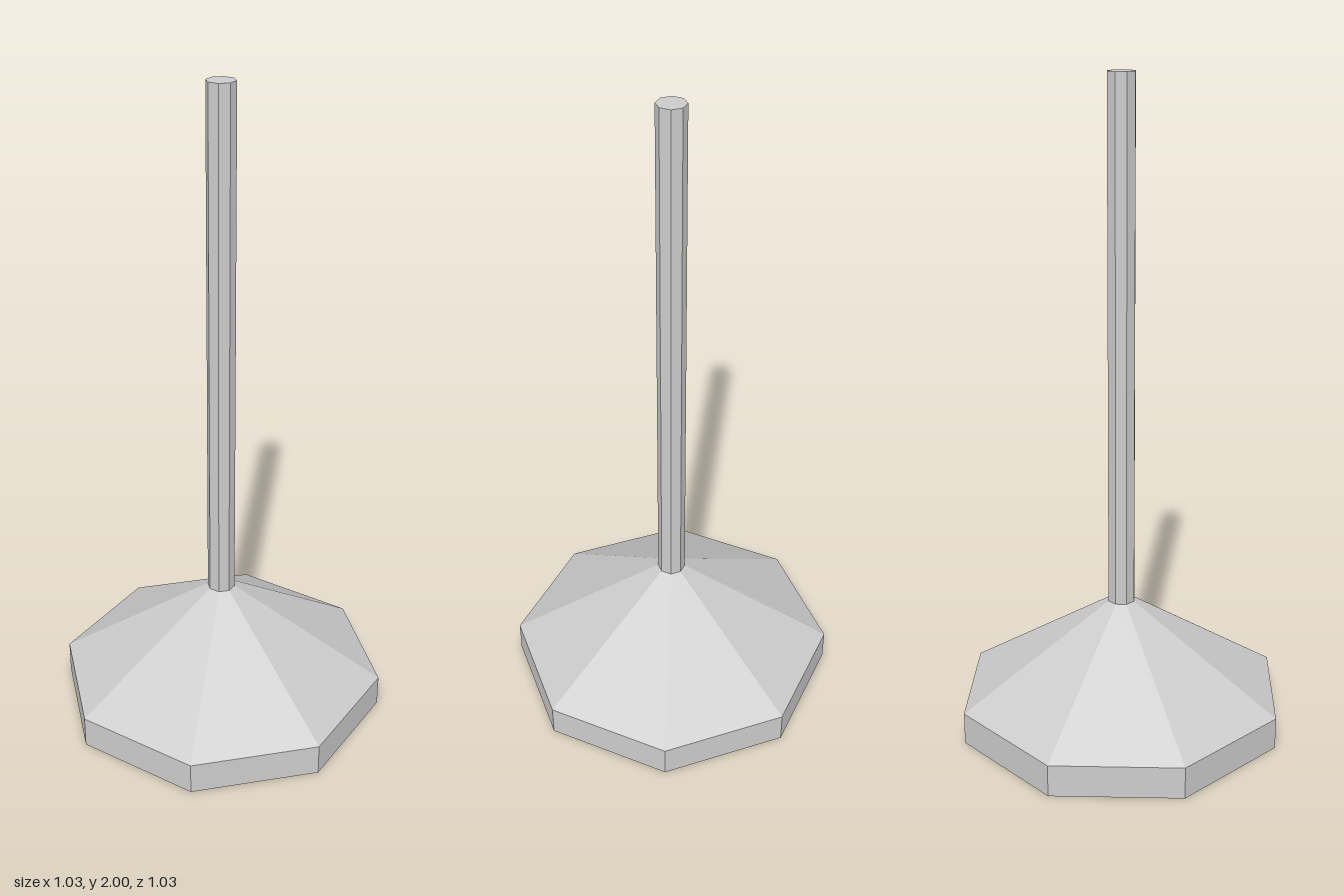
import * as THREE from 'three';

export function createModel() {
  const group = new THREE.Group();
  const grey = new THREE.MeshStandardMaterial({ color: 0xcccccc, flatShading: true });
  grey.name = 'light grey';
  const sides = 8, poleRadius = 0.043, shoulder = 0.4;

  // Octagonal turned part from [radius, height] pairs
  const turned = (name, profile) => {
    const points = profile.map(([r, y]) => new THREE.Vector2(r, y));
    const mesh = new THREE.Mesh(new THREE.LatheGeometry(points, sides), grey);
    mesh.name = name;
    group.add(mesh);
  };

  // Base: recessed underside, rim, upright edge and sloping top
  turned('base', [
    [0, 0.055], [0.445, 0.055], [0.445, 0], [0.515, 0],
    [0.515, 0.1], [poleRadius, shoulder],
  ]);

  // Pole with a closed top
  turned('pole', [[poleRadius, shoulder], [poleRadius, 2], [0, 2]]);

  return group;
}
